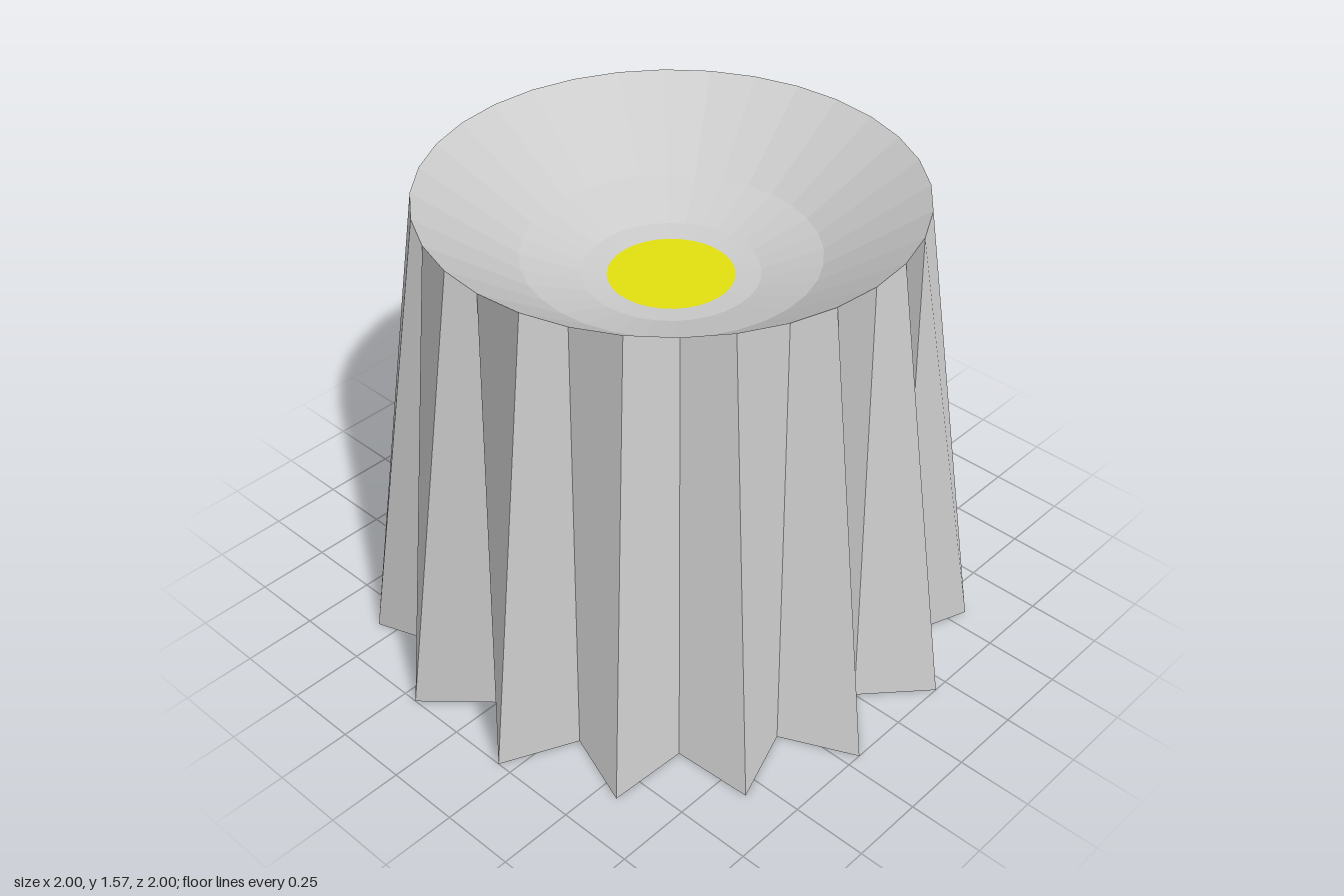
import * as THREE from 'three';

const SIDES = 32, HEIGHT = 1.57, RIM = 0.785, TIP = 1.02, VALLEY = 0.82;

// Point on the wall; odd steps are pleat tips, even steps are valleys
function ringPoint(i, r, y) {
  const a = (i / SIDES) * Math.PI * 2;
  return new THREE.Vector3(Math.sin(a) * r, y, Math.cos(a) * r);
}
const bottom = (i) => ringPoint(i, i % 2 ? TIP : VALLEY, 0);
const top = (i) => ringPoint(i, RIM, HEIGHT);

// Pleated wall: star outline at the base, circle at the rim, one normal per panel
function wallGeometry() {
  const pos = [], nor = [];
  for (let i = 0; i < SIDES; i++) {
    const b0 = bottom(i), b1 = bottom(i + 1), t0 = top(i), t1 = top(i + 1);
    const n = t1.clone().sub(b0).cross(t0.clone().sub(b1)).normalize();
    for (const p of [b0, b1, t0, b1, t1, t0]) {
      pos.push(p.x, p.y, p.z);
      nor.push(n.x, n.y, n.z);
    }
  }
  const g = new THREE.BufferGeometry();
  g.setAttribute('position', new THREE.Float32BufferAttribute(pos, 3));
  g.setAttribute('normal', new THREE.Float32BufferAttribute(nor, 3));
  return g;
}

export function createModel() {
  const group = new THREE.Group();
  const grey = new THREE.MeshStandardMaterial({ color: 0xcccccc });
  const flatGrey = new THREE.MeshStandardMaterial({ color: 0xcccccc, flatShading: true });
  const yellow = new THREE.MeshStandardMaterial({ color: 0xe2e010 });
  const add = (name, geometry, material) => {
    const mesh = new THREE.Mesh(geometry, material);
    mesh.name = name;
    group.add(mesh);
    return mesh;
  };

  add('pleatedWall', wallGeometry(), grey);

  // Star-shaped underside, facing down
  const star = new THREE.Shape();
  for (let i = 0; i < SIDES; i++) {
    const p = bottom(i);
    if (i) star.lineTo(p.x, p.z);
    else star.moveTo(p.x, p.z);
  }
  add('base', new THREE.ShapeGeometry(star).rotateX(Math.PI / 2), grey);

  // Shallow bowl sunk into the top
  const profile = [[RIM, 0], [0.47, 0.22], [0.28, 0.29], [0.2, 0.3]]
    .map(([r, depth]) => new THREE.Vector2(r, HEIGHT - depth));
  add('bowl', new THREE.LatheGeometry(profile, SIDES), flatGrey);

  // Coloured disc at the bottom of the bowl
  const disc = add('centreDisc', new THREE.CircleGeometry(0.2, SIDES).rotateX(-Math.PI / 2), yellow);
  disc.position.y = HEIGHT - 0.3;

  return group;
}
